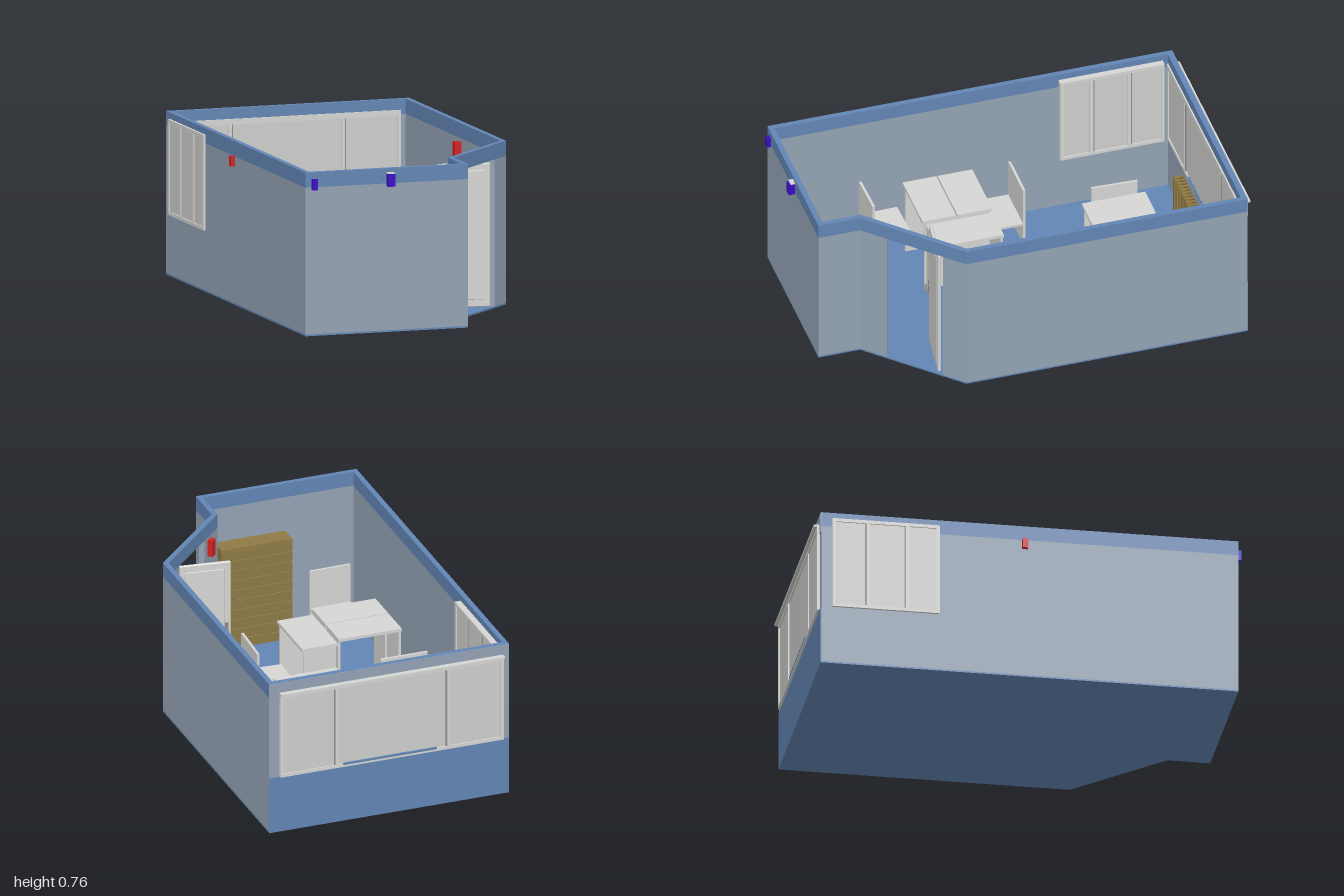
import * as THREE from 'three';
import { RoundedBoxGeometry } from 'three/addons/geometries/RoundedBoxGeometry.js';

const paint = (name, color) => Object.assign(new THREE.MeshStandardMaterial({ color }), { name });

export function createModel() {
  const wallGrey = paint('wallGrey', 0x94a3b4);
  const blue = paint('blue', 0x6386b5);
  const pale = paint('paleGrey', 0xd6d6d4);
  const glass = paint('paneGrey', 0xcfcfcc);
  const metal = paint('metal', 0x8c8c8c);
  const wood = paint('wood', 0x8f7a45);
  const darkWood = paint('darkWood', 0x5c4c28);
  const red = paint('red', 0xd42020);
  const violet = paint('violetBlue', 0x3a0cc8);

  const root = new THREE.Group();
  root.name = 'room';
  const group = (name, parent = root) => {
    const g = new THREE.Group();
    g.name = name;
    parent.add(g);
    return g;
  };
  const add = (parent, name, geo, mat) => {
    const m = new THREE.Mesh(geo, mat);
    m.name = name;
    parent.add(m);
    return m;
  };
  // Box given by its lower and upper limits on each axis
  const box = (parent, name, mat, x0, x1, y0, y1, z0, z1) => {
    const m = add(parent, name, new THREE.BoxGeometry(x1 - x0, y1 - y0, z1 - z0), mat);
    m.position.set((x0 + x1) / 2, (y0 + y1) / 2, (z0 + z1) / 2);
    return m;
  };
  // Upright prism over a plan of [x, z] points, with an optional hole
  const prism = (parent, name, mat, plan, y0, y1, hole) => {
    const pts = (list) => list.map(([x, z]) => new THREE.Vector2(x, -z));
    const shape = new THREE.Shape(pts(plan));
    if (hole) shape.holes.push(new THREE.Path(pts(hole)));
    const geo = new THREE.ExtrudeGeometry(shape, { depth: y1 - y0, bevelEnabled: false });
    geo.rotateX(-Math.PI / 2).translate(0, y0, 0);
    return add(parent, name, geo, mat);
  };

  // Floor and walls
  const outer = [[-0.58, 0.97], [0.21, 0.97], [0.21, 0.77], [0.6, 0.38], [0.6, -0.97], [-0.58, -0.97]];
  const inner = [[-0.555, 0.945], [0.185, 0.945], [0.185, 0.76], [0.575, 0.37], [0.575, -0.945], [-0.555, -0.945]];
  const bandY = 0.69, top = 0.76;
  const shell = group('shell');
  prism(shell, 'floor', blue, outer, 0, 0.008);
  prism(shell, 'upperBand', blue, outer, bandY, top, inner);
  const mix = (a, b, t) => [a[0] + (b[0] - a[0]) * t, a[1] + (b[1] - a[1]) * t];
  outer.forEach((a, i) => {
    const j = (i + 1) % outer.length;
    const spans = i === 2 ? [[0, 0.26], [0.78, 1]] : [[0, 1]]; // the slanted wall has the doorway
    for (const [s, e] of spans) {
      const plan = [mix(a, outer[j], s), mix(a, outer[j], e), mix(inner[i], inner[j], e), mix(inner[i], inner[j], s)];
      prism(shell, 'wall', wallGrey, plan, 0.008, bandY);
    }
  });
  box(shell, 'backLowerPaint', blue, -0.58, 0.6, 0, 0.28, -0.973, -0.969);
  box(shell, 'backUpperPaint', wallGrey, -0.58, 0.6, 0.66, top - 0.001, -0.973, -0.969);

  // Window made along x from -w/2 to w/2, outside facing -z, standing on y = 0
  const makeWindow = (name, w, h, dividers, depth, ledge) => {
    const g = group(name);
    const f = 0.016, d = depth / 2;
    box(g, 'pane', glass, -w / 2 + f, w / 2 - f, f, h - f, -d + 0.006, d - 0.006);
    box(g, 'topRail', pale, -w / 2, w / 2, h - f, h, -d, d);
    box(g, 'bottomRail', pale, -w / 2, w / 2, 0, f, -d, d);
    for (const x of [-w / 2 + f / 2, w / 2 - f / 2, ...dividers])
      box(g, 'post', pale, x - f / 2, x + f / 2, f, h - f, -d, d);
    for (const x of dividers)
      box(g, 'sashEdge', metal, x + f / 2, x + f / 2 + 0.006, f, h - f, -d + 0.002, d - 0.002);
    if (ledge) box(g, 'ledge', pale, -w / 2, w / 2, h, h + 0.01, -d - ledge, d);
    return g;
  };
  makeWindow('backWindow', 1.1, 0.42, [-0.28, 0.27], 0.046, 0.016).position.set(0, 0.28, -0.961);
  box(root, 'windowTrack', blue, -0.22, 0.24, 0.29, 0.3, -0.985, -0.937);
  const side = makeWindow('sideWindow', 0.5, 0.445, [-0.1, 0.08], 0.065, 0);
  side.rotation.y = Math.PI / 2;
  side.position.set(-0.558, 0.285, -0.67);

  // Open door, built from its hinge along -x
  const door = group('door');
  door.position.set(0.49, 0.01, 0.475);
  door.rotation.y = -0.13;
  add(door, 'leaf', new RoundedBoxGeometry(0.25, 0.67, 0.016, 3, 0.007), pale).position.set(-0.125, 0.335, 0);
  for (const s of [-1, 1]) {
    add(door, 'panel', new RoundedBoxGeometry(0.19, 0.6, 0.008, 2, 0.003), pale).position.set(-0.125, 0.335, s * 0.007);
    box(door, 'handlePlate', metal, -0.237, -0.222, 0.28, 0.36, s * 0.01 - 0.003, s * 0.01 + 0.003);
    const spindle = add(door, 'handleSpindle', new THREE.CylinderGeometry(0.005, 0.005, 0.022, 12), metal);
    spindle.rotation.x = Math.PI / 2;
    spindle.position.set(-0.23, 0.33, s * 0.018);
    const lever = add(door, 'handleLever', new THREE.CylinderGeometry(0.005, 0.005, 0.065, 12), metal);
    lever.rotation.z = Math.PI / 2;
    lever.position.set(-0.2, 0.33, s * 0.027);
  }

  // Desks: a top on two end panels
  const desk = (x0, x1, z0, z1, h) => {
    const g = group('desk');
    box(g, 'deskTop', pale, x0, x1, h - 0.015, h, z0, z1);
    const alongX = x1 - x0 >= z1 - z0, t = 0.012;
    for (const e of [0, 1]) {
      if (alongX) {
        const x = e ? x1 - t : x0;
        box(g, 'deskSide', pale, x, x + t, 0.008, h - 0.015, z0 + 0.01, z1 - 0.01);
      } else {
        const z = e ? z1 - t : z0;
        box(g, 'deskSide', pale, x0 + 0.01, x1 - 0.01, 0.008, h - 0.015, z, z + t);
      }
    }
  };
  desk(-0.44, -0.13, 0.03, 0.197, 0.4);
  desk(-0.44, -0.13, 0.203, 0.365, 0.4);
  desk(-0.125, 0.05, 0.03, 0.35, 0.38);
  desk(0.03, 0.34, -0.655, -0.35, 0.46);

  // Chairs: a seat and a back panel; the angle turns the back from +z
  const chair = (x, z, width, depth, seatY, angle) => {
    const g = group('chair');
    g.position.set(x, seatY, z);
    g.rotation.y = angle;
    box(g, 'seat', pale, -width / 2, width / 2, -0.006, 0.006, -depth / 2, depth / 2);
    box(g, 'backPanel', pale, -width / 2, width / 2, -0.11, 0.195, depth / 2 - 0.012, depth / 2);
  };
  chair(-0.3, 0.493, 0.2, 0.185, 0.29, 0.02);
  chair(-0.375, -0.07, 0.23, 0.2, 0.17, Math.PI);
  chair(0.147, 0.2, 0.23, 0.195, 0.17, Math.PI / 2 - 0.05);
  chair(-0.093, -0.57, 0.22, 0.195, 0.17, -Math.PI / 2 - 0.03);
  chair(0.43, -0.465, 0.21, 0.18, 0.27, Math.PI / 2);

  // Wooden cabinet with horizontal boards against the front wall
  const cabinet = group('cabinet');
  box(cabinet, 'cabinetBody', darkWood, -0.215, 0.125, 0.008, 0.51, 0.86, 0.943);
  box(cabinet, 'cabinetTop', wood, -0.22, 0.13, 0.508, 0.52, 0.85, 0.944);
  for (let i = 0; i < 10; i++)
    box(cabinet, 'board', wood, -0.22, 0.13, 0.012 + i * 0.05, 0.056 + i * 0.05, 0.85, 0.944);

  // Slatted unit below the back window
  const slats = group('slattedUnit');
  box(slats, 'slatBacking', darkWood, -0.295, 0.175, 0.02, 0.25, -0.937, -0.915);
  for (let i = 0; i < 20; i++) {
    const x = -0.295 + i * 0.0242;
    box(slats, 'slat', wood, x, x + 0.012, 0.02, 0.255, -0.937, -0.89);
  }

  // Small wall devices
  const device = (name, mat, x, y, z, w, h, d, angle = 0) => {
    const m = add(root, name, new THREE.BoxGeometry(w, h, d), mat);
    m.position.set(x, y, z);
    m.rotation.y = angle;
  };
  device('innerSensor', red, 0.558, 0.635, -0.183, 0.03, 0.08, 0.038);
  device('doorSensor', red, 0.243, 0.635, 0.687, 0.035, 0.08, 0.028, Math.PI / 4);
  device('backSensor', red, 0.26, 0.36, -0.925, 0.038, 0.07, 0.03);
  device('outerSensor', red, -0.59, 0.668, -0.023, 0.022, 0.046, 0.025);
  device('cornerLamp', violet, -0.538, 0.704, 0.979, 0.026, 0.05, 0.02);
  device('frontLamp', violet, -0.17, 0.707, 0.984, 0.032, 0.058, 0.032);
  device('frontLampCap', pale, -0.17, 0.739, 0.98, 0.034, 0.006, 0.022);

  return root;
}
